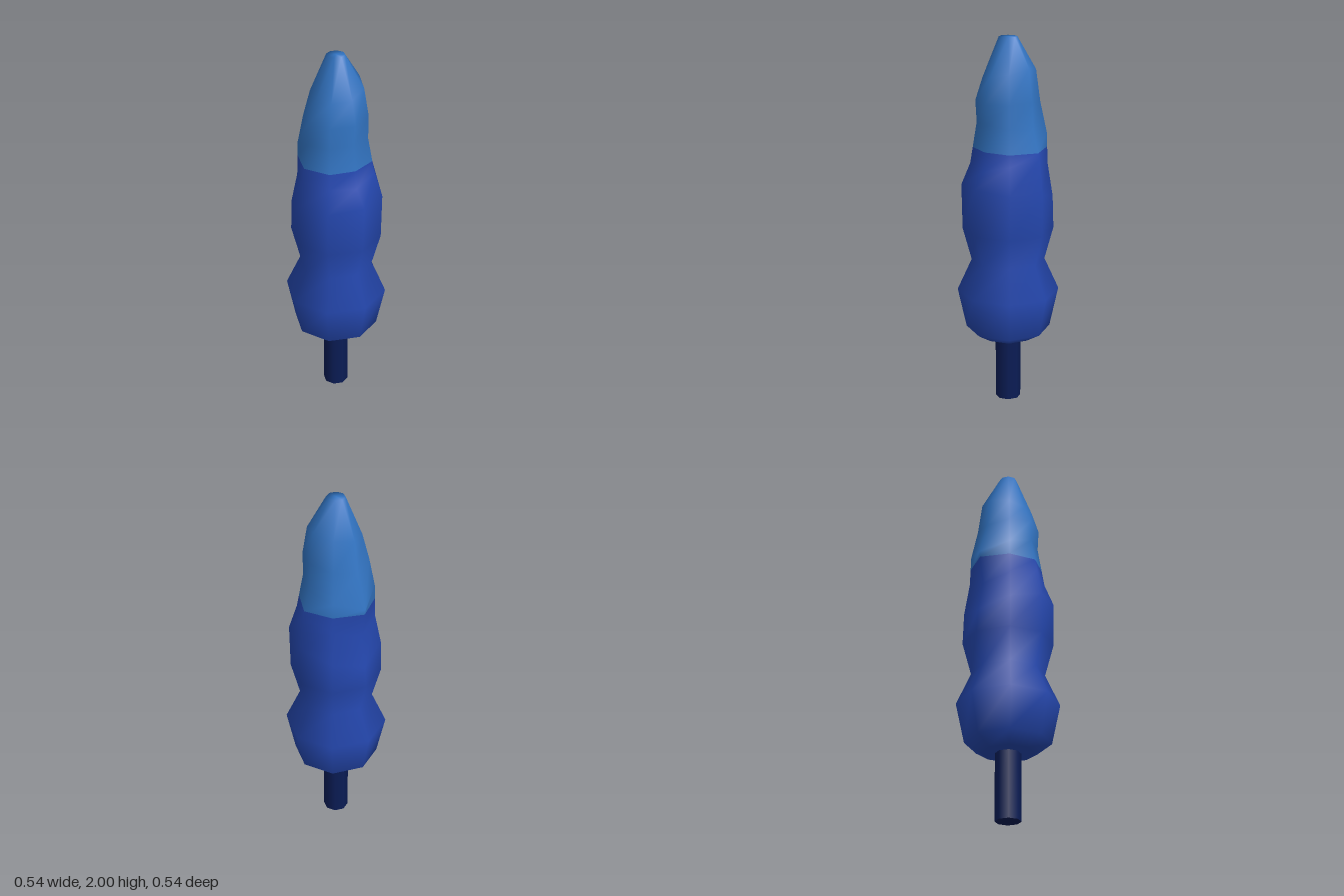
import * as THREE from 'three';

const SIDES = 8;
const TWIST = THREE.MathUtils.degToRad(6.5);
const SPLIT = 1.42; // height where the foliage changes colour

const mat = (name, color) => {
  const m = new THREE.MeshStandardMaterial({ color });
  m.name = name;
  return m;
};

// One ring: [radius, height] towards +x, +z, -x and -z, blended in between
function ring(...dirs) {
  const points = [];
  for (let i = 0; i < SIDES; i++) {
    const a = (i / SIDES) * Math.PI * 2;
    const q = Math.floor(a / (Math.PI / 2) + 1e-6);
    const t = Math.sin(a - q * Math.PI / 2) ** 2;
    const from = dirs[q % 4], to = dirs[(q + 1) % 4];
    const r = from[0] + (to[0] - from[0]) * t;
    const y = from[1] + (to[1] - from[1]) * t;
    points.push(new THREE.Vector3(r * Math.cos(a + TWIST), y, r * Math.sin(a + TWIST)));
  }
  return points;
}
const even = (r, y) => ring([r, y], [r, y], [r, y], [r, y]);

function foliageGeometry() {
  const lower = [
    even(0.05, 0.36),
    even(0.14, 0.362),
    even(0.227, 0.415),
    even(0.273, 0.63),
    even(0.196, 0.8),
    even(0.243, 0.975),
    ring([0.252, 1.235], [0.242, 1.2], [0.232, 1.1], [0.242, 1.2]),
    ring([0.186, 1.32], [0.212, 1.35], [0.197, 1.27], [0.22, 1.39]),
  ];
  const upper = [
    ring([0.157, 1.56], [0.17, 1.55], [0.228, 1.45], [0.178, 1.54]),
    ring([0.17, 1.67], [0.17, 1.67], [0.167, 1.64], [0.168, 1.68]),
    ring([0.142, 1.8], [0.122, 1.78], [0.142, 1.81], [0.147, 1.85]),
    even(0.048, 2),
    even(0, 2),
  ];
  // Level ring at the colour change
  const below = lower[lower.length - 1];
  const seam = below.map((p, i) =>
    p.clone().lerp(upper[0][i], (SPLIT - p.y) / (upper[0][i].y - p.y)));
  const rings = [...lower, seam, ...upper];

  const index = [];
  for (let j = 0; j < rings.length - 1; j++) {
    for (let i = 0; i < SIDES; i++) {
      const n = (i + 1) % SIDES;
      const a = j * SIDES + i, b = j * SIDES + n;
      index.push(a, a + SIDES, b, b, a + SIDES, b + SIDES);
    }
  }
  const geo = new THREE.BufferGeometry().setFromPoints(rings.flat());
  geo.setIndex(index);
  geo.computeVertexNormals();
  const cut = lower.length * SIDES * 6;
  geo.addGroup(0, cut, 0);
  geo.addGroup(cut, index.length - cut, 1);
  return geo;
}

export function createModel() {
  const group = new THREE.Group();
  group.name = 'tree';

  // Foliage: one smooth lumpy skin in two blues
  const foliage = new THREE.Mesh(foliageGeometry(), [
    mat('deepBlue', 0x2548b0),
    mat('lightBlue', 0x3274c2),
  ]);
  foliage.name = 'foliage';
  group.add(foliage);

  // Trunk
  const trunk = new THREE.Mesh(
    new THREE.CylinderGeometry(0.068, 0.068, 0.42, SIDES),
    mat('darkNavy', 0x0a1c55));
  trunk.name = 'trunk';
  trunk.position.y = 0.21;
  trunk.rotation.y = -TWIST;
  group.add(trunk);

  return group;
}
